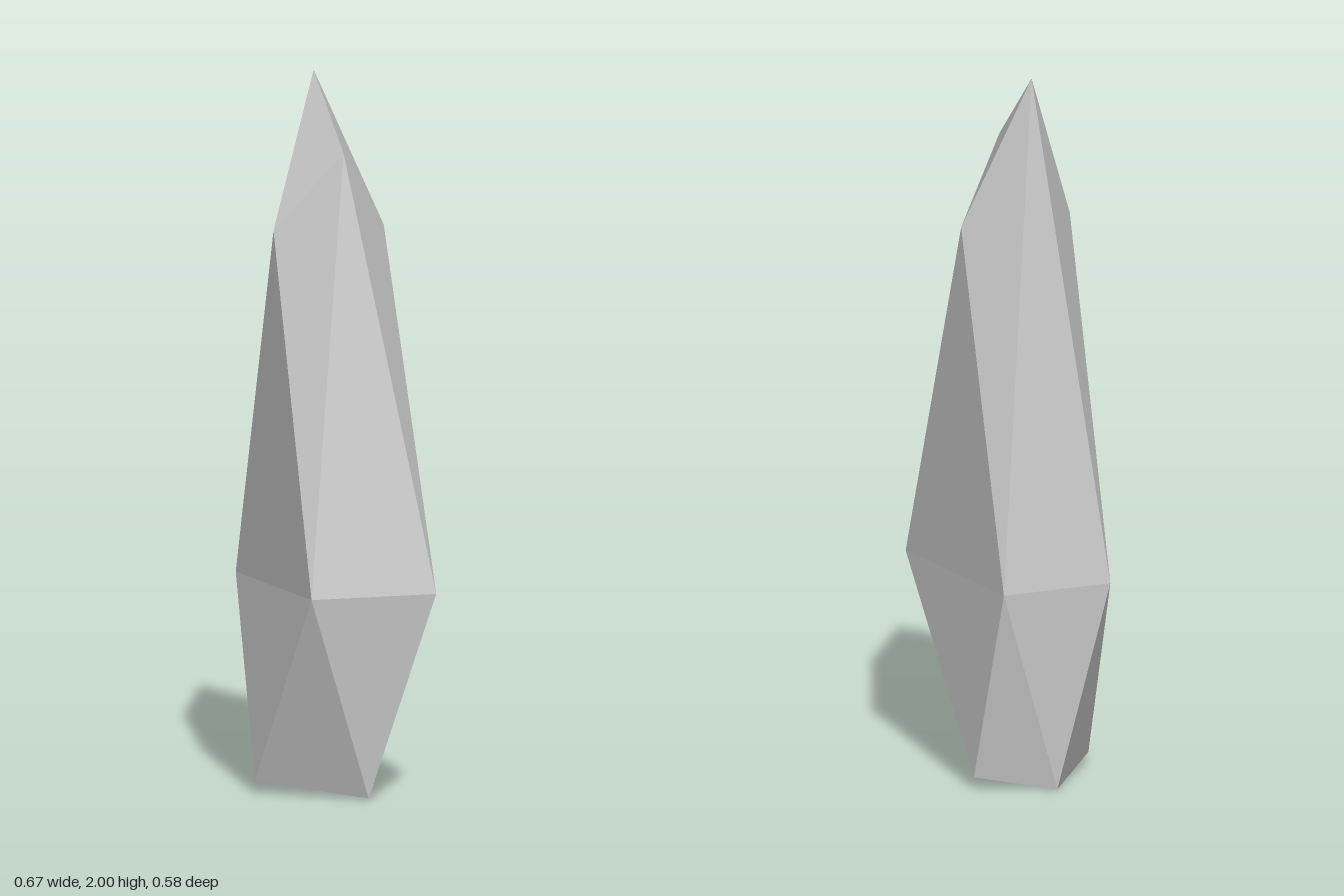
import * as THREE from 'three';

// Three four-cornered rings, each running counter-clockwise seen from above.
// Crown and base corners sit between neighbouring girdle corners.
const crown = [[-0.122, 1.575, 0.132], [0.06, 1.797, 0.06], [0.075, 1.57, -0.135], [-0.107, 2, -0.062]];
const girdle = [[-0.335, 0.58, -0.026], [0.09, 0.58, 0.287], [0.335, 0.58, 0.023], [-0.143, 0.58, -0.289]];
const base = [[-0.165, 0.035, 0.16], [0.165, 0.004, 0.102], [-0.02, 0.035, -0.236], [-0.222, 0, -0.125]];

function crystalGeometry() {
  const triangles = [];
  const face = (...corners) => triangles.push(...corners.flat());

  for (let i = 0; i < 4; i++) {
    const j = (i + 1) % 4;
    // long upper facets
    face(girdle[i], girdle[j], crown[i]);
    face(crown[i], girdle[j], crown[j]);
    // short lower facets
    face(girdle[i], base[i], girdle[j]);
    face(base[i], base[j], girdle[j]);
  }
  // slanted tip, folded along its ridge
  face(crown[3], crown[0], crown[1]);
  face(crown[1], crown[2], crown[3]);
  // underside, folded along its keel
  face(base[3], base[1], base[0]);
  face(base[1], base[3], base[2]);

  const geometry = new THREE.BufferGeometry();
  geometry.setAttribute('position', new THREE.Float32BufferAttribute(triangles, 3));
  geometry.computeVertexNormals();
  return geometry;
}

export function createModel() {
  const group = new THREE.Group();
  group.name = 'crystalShard';
  const material = new THREE.MeshStandardMaterial({ color: 0xcccccc, flatShading: true });
  const crystal = new THREE.Mesh(crystalGeometry(), material);
  crystal.name = 'crystal';
  group.add(crystal);
  return group;
}
